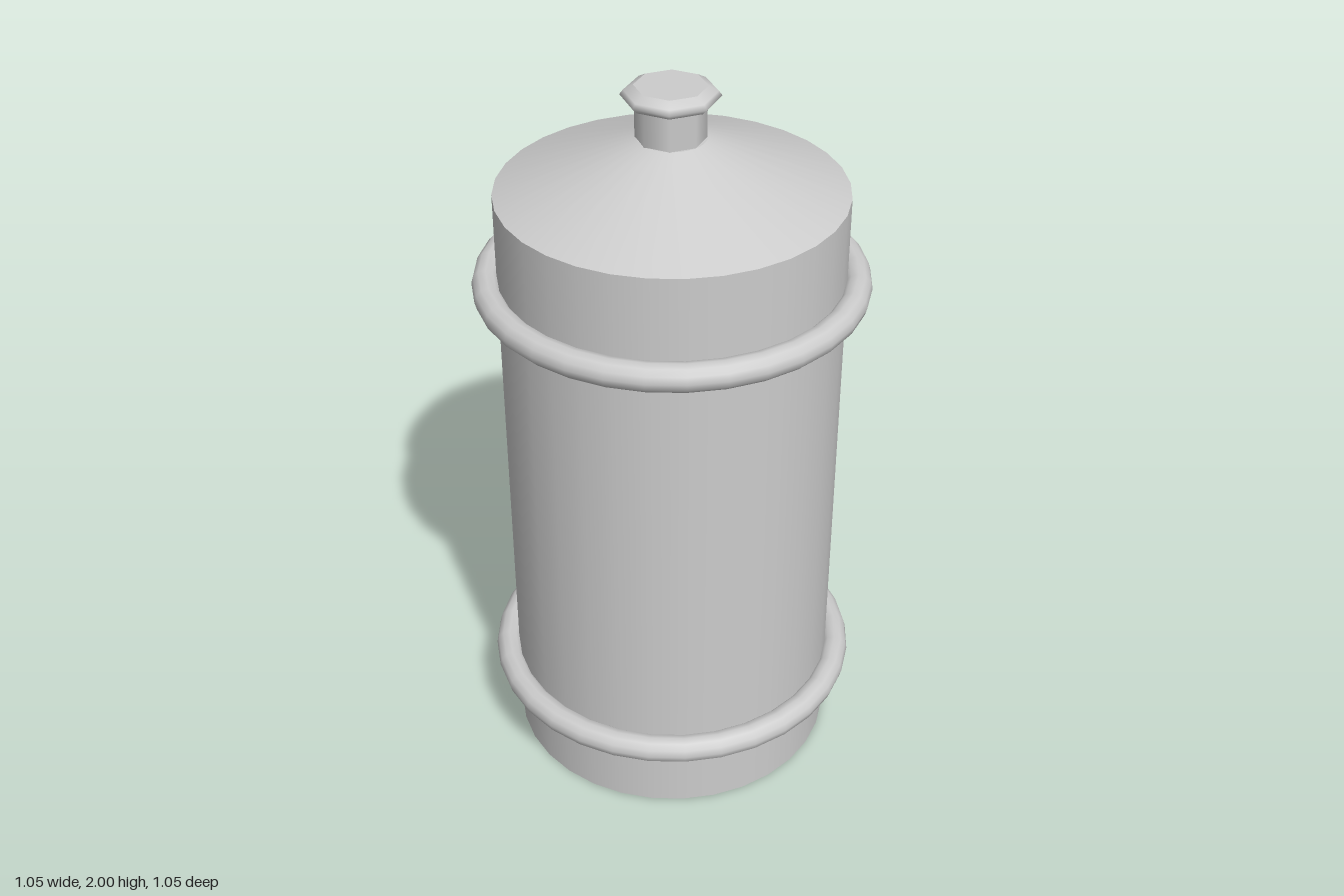
import * as THREE from 'three';

const SIDES = 32;
const KNOB_TURN = THREE.MathUtils.degToRad(28);

export function createModel() {
  const model = new THREE.Group();
  model.name = 'canister';
  const grey = new THREE.MeshStandardMaterial({ color: 0xcccccc });
  grey.name = 'grey';

  function add(name, geometry, y, parent = model) {
    const mesh = new THREE.Mesh(geometry, grey);
    mesh.name = name;
    mesh.position.y = y;
    parent.add(mesh);
    return mesh;
  }

  // Straight wall with a flat base, and the sloping lid on top
  add('body', new THREE.CylinderGeometry(0.457, 0.457, 1.716, SIDES), 0.858);
  add('lid', new THREE.CylinderGeometry(0.09, 0.457, 0.146, SIDES), 1.789);

  // Two round hoops around the wall
  for (const [name, y] of [['lowerHoop', 0.228], ['upperHoop', 1.462]]) {
    add(name, new THREE.TorusGeometry(0.485, 0.038, 12, SIDES).rotateX(Math.PI / 2), y);
  }

  // Eight-sided handle, turned slightly about its axis
  const handle = new THREE.Group();
  handle.name = 'handle';
  handle.position.x = -0.003;
  handle.rotation.y = KNOB_TURN;
  model.add(handle);
  add('neck', new THREE.CylinderGeometry(0.091, 0.091, 0.13, 8), 1.9, handle);

  // Knob: bevelled rim, flat top and flat underside
  const rim = [[0.113, 1.96], [0.127, 1.974], [0.118, 1.986], [0.093, 2]];
  add('knobRim', new THREE.LatheGeometry(rim.map(p => new THREE.Vector2(...p)), 8), 0, handle);
  add('knobTop', new THREE.CircleGeometry(0.093, 8).rotateX(-Math.PI / 2).rotateY(0), 2, handle);
  add('knobUnderside', new THREE.CircleGeometry(0.113, 8).rotateX(Math.PI / 2), 1.96, handle);

  return model;
}
